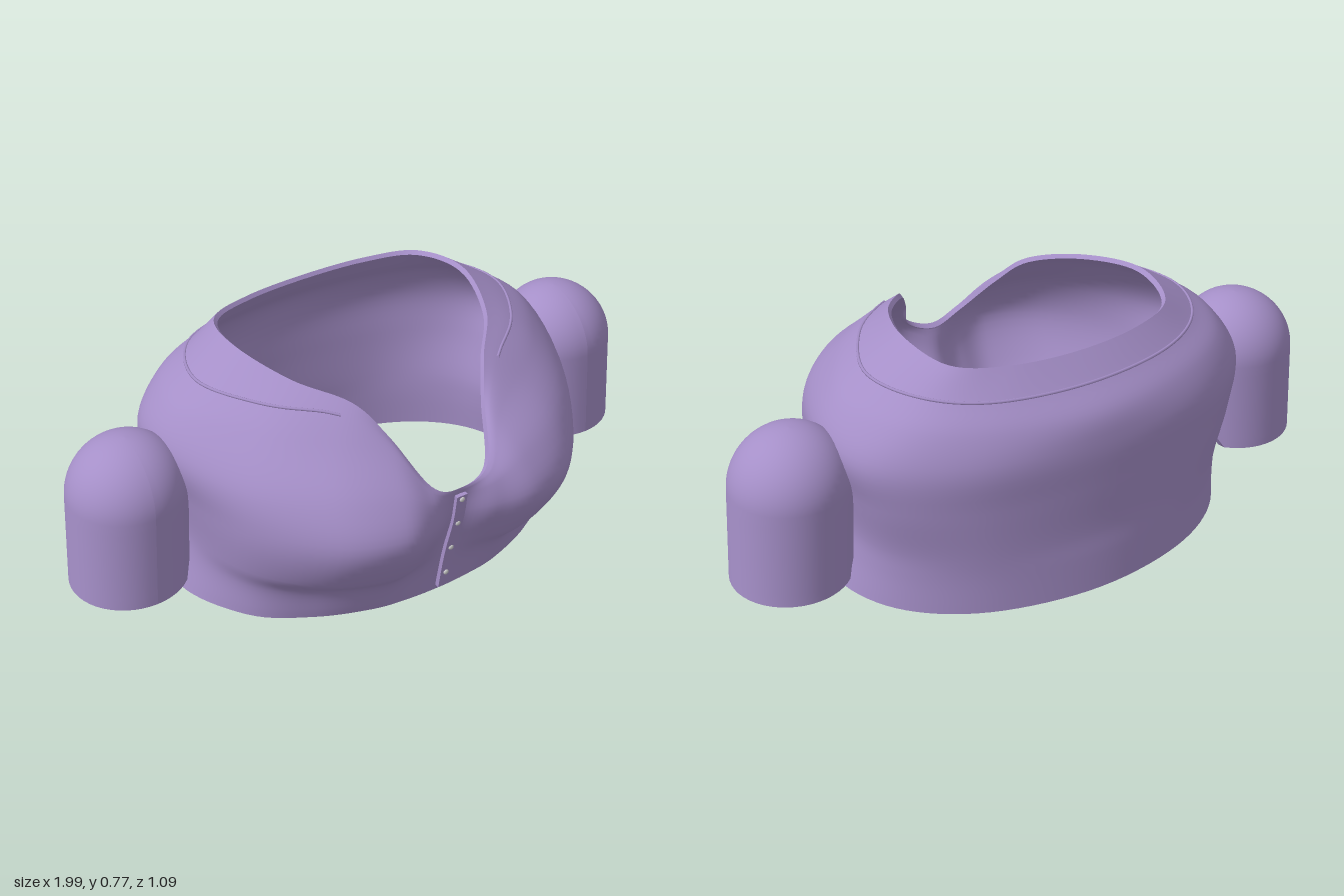
import * as THREE from 'three';
import { mergeGeometries } from 'three/addons/utils/BufferGeometryUtils.js';

const COLOR = 0xa58fc8;
const AROUND = 128; // samples around the body
const V = (x, y, z) => new THREE.Vector3(x, y, z);
const cloth = () => new THREE.MeshStandardMaterial({ color: COLOR, side: THREE.DoubleSide });

// Half outlines of the body from centre front, round the +x side, to centre back
const hem = [[0, 0, .38], [.11, 0, .375], [.23, 0, .355], [.4, 0, .286], [.56, 0, .165],
  [.66, 0, -.07], [.58, 0, -.31], [.35, 0, -.475], [0, 0, -.54]];
const underBust = [[0, .13, .405], [.11, .12, .405], [.23, .115, .4], [.4, .12, .325], [.56, .12, .18],
  [.635, .12, -.07], [.575, .12, -.31], [.35, .12, -.475], [0, .12, -.535]];
const lowBust = [[0, .2, .42], [.11, .2, .45], [.23, .2, .475], [.42, .2, .395], [.58, .2, .2],
  [.63, .2, -.07], [.58, .2, -.31], [.36, .2, -.475], [0, .2, -.53]];
const bust = [[0, .32, .453], [.11, .34, .512], [.24, .36, .545], [.42, .36, .465], [.59, .36, .24],
  [.655, .36, -.06], [.615, .36, -.32], [.38, .36, -.48], [0, .36, -.535]];
const upperChest = [[0, .39, .465], [.11, .43, .502], [.22, .48, .495], [.4, .5, .415], [.58, .5, .22],
  [.69, .51, -.08], [.635, .5, -.32], [.38, .5, -.485], [0, .5, -.535]];
const shoulder = [[0, .415, .469], [.107, .463, .482], [.19, .57, .405], [.34, .62, .31], [.5, .635, .16],
  [.63, .62, -.09], [.56, .615, -.32], [.35, .6, -.455], [0, .59, -.515]];
const yoke = [[0, .424, .47], [.104, .47, .474], [.178, .6, .37], [.28, .68, .265], [.44, .695, .12],
  [.54, .69, -.1], [.47, .685, -.3], [.29, .67, -.41], [0, .665, -.45]];
const neckEdge = [[0, .432, .47], [.1, .475, .466], [.17, .61, .35], [.235, .7, .255], [.35, .742, .11],
  [.415, .772, -.1], [.375, .757, -.29], [.22, .745, -.365], [0, .74, -.388]];

// Closed smooth outline from a half outline and its mirror
function outline(half) {
  const pts = half.map(p => V(...p));
  for (let i = half.length - 2; i > 0; i--) pts.push(V(-half[i][0], half[i][1], half[i][2]));
  return new THREE.CatmullRomCurve3(pts, true, 'catmullrom', 0.5);
}

// Closed skin over a stack of rings
function skin(rings) {
  const n = rings[0].length, pos = [], idx = [];
  rings.forEach(r => r.forEach(p => pos.push(p.x, p.y, p.z)));
  for (let i = 0; i < rings.length - 1; i++) {
    for (let j = 0; j < n; j++) {
      const k = (j + 1) % n, a = i * n + j, b = i * n + k;
      idx.push(a, b, a + n, b, b + n, a + n);
    }
  }
  const g = new THREE.BufferGeometry();
  g.setAttribute('position', new THREE.Float32BufferAttribute(pos, 3));
  g.setIndex(idx);
  g.computeVertexNormals();
  return g;
}

function makeBody() {
  const curves = [hem, underBust, lowBust, bust, upperChest, shoulder, yoke, neckEdge].map(outline);
  const steps = (curves.length - 1) * 6;
  const rings = Array.from({ length: steps + 1 }, () => []);
  for (let j = 0; j < AROUND; j++) {
    const rib = new THREE.CatmullRomCurve3(curves.map(c => c.getPoint(j / AROUND)), false, 'centripetal');
    for (let i = 0; i <= steps; i++) rings[i].push(rib.getPoint(i / steps));
  }
  // Lining set slightly inside, dropping at the neck to form a rolled edge
  const inner = rings.map((r, i) => r.map(p =>
    V(p.x * .975, p.y - .012 * (i / steps) ** 3, (p.z + .08) * .975 - .08)));
  const geometry = mergeGeometries([
    skin(rings),
    skin([...inner].reverse()),
    skin([inner[0], rings[0]]),
    skin([rings[steps], inner[steps]]),
  ]);
  const mesh = new THREE.Mesh(geometry, cloth());
  mesh.name = 'bodice';
  return mesh;
}

// Raised seam round the back yoke and over the shoulders
function makeSeam() {
  const path = outline(yoke), pts = [];
  for (let i = 0; i <= 40; i++) pts.push(path.getPoint((3 + 10 * i / 40) / 16));
  const mesh = new THREE.Mesh(
    new THREE.TubeGeometry(new THREE.CatmullRomCurve3(pts), 100, .005, 6), cloth());
  mesh.name = 'yokeSeam';
  return mesh;
}

// Domed sleeve, open below, leaning outward towards its cuff
function makeSleeve(side) {
  const wall = (r, top, up) => {
    const pts = [];
    for (let i = 0; i <= 8; i++) pts.push(new THREE.Vector2(r, .1 + (top - r - .1) * i / 8));
    for (let i = 1; i <= 16; i++) {
      const a = i / 16 * Math.PI / 2;
      pts.push(new THREE.Vector2(i === 16 ? 0 : r * Math.cos(a), top - r + r * Math.sin(a)));
    }
    return up ? pts : pts.reverse();
  };
  const outer = wall(.183, .587, true), lining = wall(.17, .574, false);
  const g = mergeGeometries([
    new THREE.LatheGeometry(outer, 48),
    new THREE.LatheGeometry(lining, 48),
    new THREE.LatheGeometry([new THREE.Vector2(.17, .1), new THREE.Vector2(.183, .1)], 48),
  ]);
  const p = g.attributes.position;
  for (let i = 0; i < p.count; i++) {
    const y = p.getY(i);
    const x = p.getX(i) + .814 - .05 * Math.max(0, y - .1);
    p.setX(i, x * side);
    // Cuff lifts where it meets the body
    if (x < .67 && y < .13) p.setY(i, .13);
  }
  // Mirroring reverses the faces, so turn them back
  if (side < 0) {
    const ix = g.index;
    for (let i = 0; i < ix.count; i += 3) {
      const a = ix.getX(i);
      ix.setX(i, ix.getX(i + 1));
      ix.setX(i + 1, a);
    }
  }
  g.computeVertexNormals();
  const mesh = new THREE.Mesh(g, cloth());
  mesh.position.z = -.103;
  mesh.name = side > 0 ? 'leftSleeve' : 'rightSleeve';
  return mesh;
}

// Button strip down the centre front
function makePlacket() {
  const group = new THREE.Group();
  group.name = 'placket';
  const line = new THREE.CatmullRomCurve3([
    V(0, .02, .392), V(0, .13, .412), V(0, .2, .428), V(0, .32, .461), V(0, .412, .475)]);
  const strip = new THREE.BoxGeometry(.038, 1, .016, 2, 24, 1);
  const p = strip.attributes.position;
  for (let i = 0; i < p.count; i++) {
    const c = line.getPoint(p.getY(i) + .5);
    p.setY(i, c.y);
    p.setZ(i, p.getZ(i) + c.z);
  }
  strip.computeVertexNormals();
  const band = new THREE.Mesh(strip, cloth());
  band.name = 'buttonBand';
  group.add(band);
  for (const [y, z] of [[.08, .412], [.19, .434], [.3, .464], [.398, .482]]) {
    const button = new THREE.Mesh(new THREE.SphereGeometry(.009, 12, 8),
      new THREE.MeshStandardMaterial({ color: 0xcccccc }));
    button.scale.z = .6;
    button.position.set(0, y, z);
    button.name = 'button';
    group.add(button);
  }
  return group;
}

export function createModel() {
  const model = new THREE.Group();
  model.name = 'shortSleevedTop';
  model.add(makeBody(), makeSeam(), makeSleeve(1), makeSleeve(-1), makePlacket());
  return model;
}
